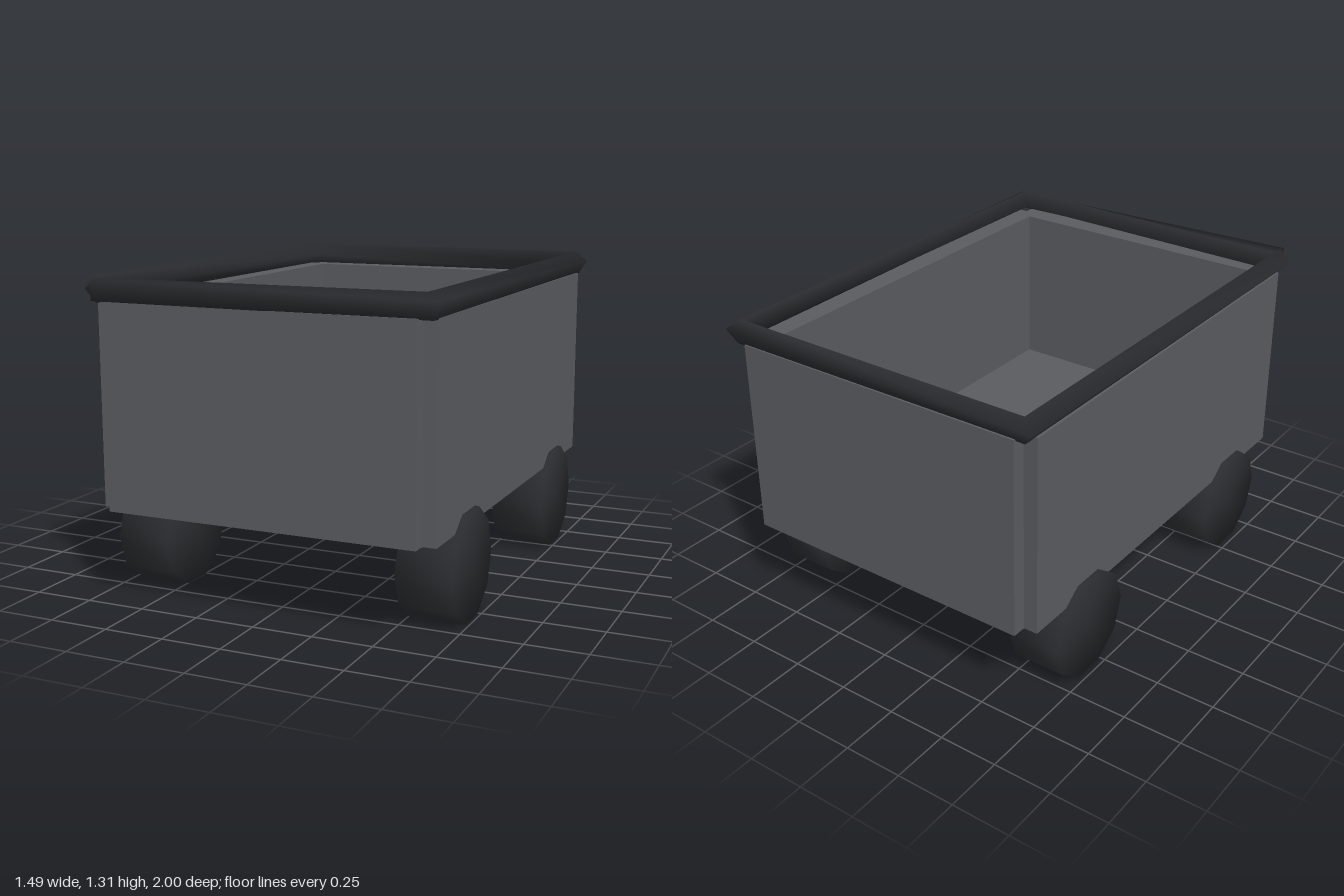
import * as THREE from 'three';
import { mergeVertices } from 'three/addons/utils/BufferGeometryUtils.js';

const bodyMat = new THREE.MeshStandardMaterial({ color: 0x5a5b60 });
const darkMat = new THREE.MeshStandardMaterial({ color: 0x2a2b2e });

// Box given by its extents on each axis
function box(name, [x0, x1], [y0, y1], [z0, z1]) {
  const mesh = new THREE.Mesh(new THREE.BoxGeometry(x1 - x0, y1 - y0, z1 - z0), bodyMat);
  mesh.position.set((x0 + x1) / 2, (y0 + y1) / 2, (z0 + z1) / 2);
  mesh.name = name;
  return mesh;
}

// Ten-sided wheel, shaded smoothly over its rim and caps
function wheelGeometry() {
  let geo = new THREE.CylinderGeometry(0.23, 0.23, 0.23, 10);
  geo.deleteAttribute('normal');
  geo.deleteAttribute('uv');
  geo = mergeVertices(geo);
  geo.rotateZ(Math.PI / 2);
  geo.rotateX(Math.PI / 2);
  // turn so that a corner points straight up
  geo.rotateX(Math.PI / 2);
  geo.computeVertexNormals();
  return geo;
}

// Four-sided bar run around the top edge, twisting slowly and mitred at corners
function rimGeometry() {
  // each ring: centre x, z, signed half widths outward in x and z, half height, twist
  const rings = [
    { x: -0.692, z: 0.955, sx: -0.053, sz: 0, sy: 0.054, turn: 0 },
    { x: -0.688, z: -0.97, sx: -0.05, sz: -0.031, sy: 0.053, turn: 3 },
    { x: 0.698, z: -0.97, sx: 0.043, sz: -0.031, sy: 0.053, turn: 10 },
    { x: 0.698, z: 0.953, sx: 0.043, sz: 0.034, sy: 0.053, turn: 24 },
    { x: -0.69, z: 0.96, sx: 0, sz: 0.05, sy: 0.06, turn: 45 },
  ];
  const pos = [];
  const index = [];
  rings.forEach((r, i) => {
    for (let j = 0; j < 4; j++) {
      const a = THREE.MathUtils.degToRad(r.turn + j * 90);
      pos.push(r.x + r.sx * Math.cos(a), 1.274 + r.sy * Math.sin(a), r.z + r.sz * Math.cos(a));
      if (i === rings.length - 1) continue;
      const k = (j + 1) % 4;
      const p = i * 4, q = p + 4;
      index.push(p + j, p + k, q + k, p + j, q + k, q + j);
    }
  });
  const e = (rings.length - 1) * 4;
  index.push(0, 2, 1, 0, 3, 2, e, e + 1, e + 2, e, e + 2, e + 3);
  const geo = new THREE.BufferGeometry();
  geo.setAttribute('position', new THREE.Float32BufferAttribute(pos, 3));
  geo.setIndex(index);
  geo.computeVertexNormals();
  return geo;
}

export function createModel() {
  const group = new THREE.Group();
  group.name = 'cart';

  // Walls stop short of the corners, leaving an upright notch at each
  const wallY = [0.392, 1.23];
  group.add(
    box('frontWall', [-0.65, 0.66], wallY, [0.865, 0.98]),
    box('backWall', [-0.65, 0.66], wallY, [-0.985, -0.875]),
    box('rightWall', [-0.71, -0.595], wallY, [-0.925, 0.92]),
    box('leftWall', [0.605, 0.717], wallY, [-0.925, 0.92]),
    box('floor', [-0.65, 0.66], [0.388, 0.51], [-0.925, 0.92]),
  );

  // Rim
  const rim = new THREE.Mesh(rimGeometry(), darkMat);
  rim.name = 'rim';
  group.add(rim);

  // Wheels
  const wheelGeo = wheelGeometry();
  for (const [side, x] of [['Right', -0.61], ['Left', 0.62]]) {
    for (const [end, z] of [['front', 0.577], ['back', -0.58]]) {
      const wheel = new THREE.Mesh(wheelGeo, darkMat);
      wheel.name = `${end}${side}Wheel`;
      wheel.position.set(x, 0.232, z);
      group.add(wheel);
    }
  }
  return group;
}
